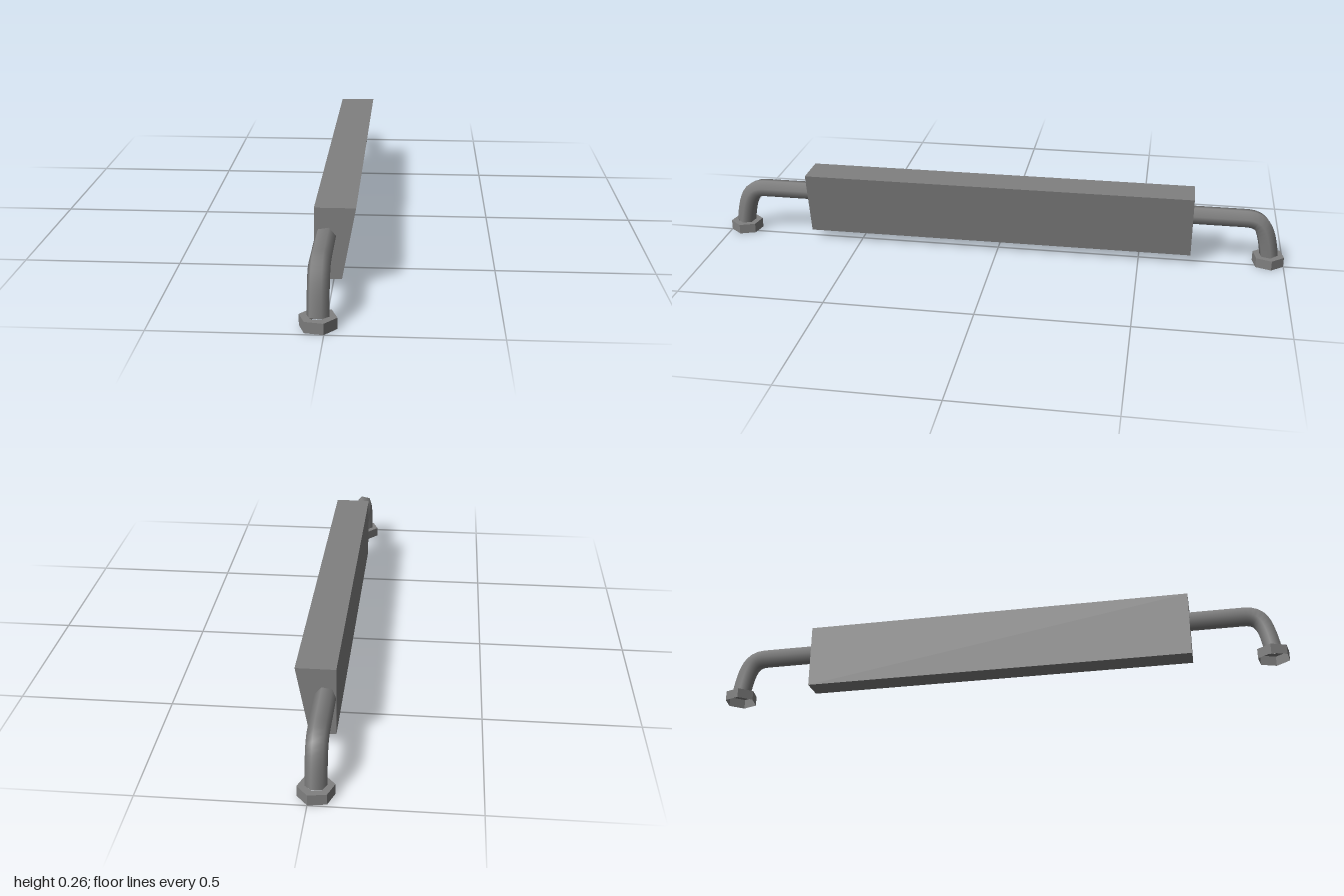
import * as THREE from 'three';
import { ParametricGeometry } from 'three/addons/geometries/ParametricGeometry.js';

const PIPE_X = -0.02, PIPE_R = 0.033, NUT_Z = 0.947, NUT_R = 0.056, NUT_H = 0.034;
const TWIST = Math.PI / 18; // hexagons are turned by ten degrees

// Hexagonal pipe that leaves the bar and bends down; side is +1 (front) or -1 (back)
function pipeGeometry(side) {
  const path = new THREE.Path(); // path x runs along z
  path.moveTo(0.67, 0.167);
  path.lineTo(0.86, 0.167);
  path.bezierCurveTo(0.915, 0.167, 0.932, 0.14, 0.948, NUT_H);
  return new ParametricGeometry((u, v, target) => {
    const p = path.getPoint(u), t = path.getTangent(u);
    const a = TWIST - side * v * Math.PI * 2;
    const out = PIPE_R * Math.sin(a);
    target.set(PIPE_X + PIPE_R * Math.cos(a), p.y + t.x * out, side * (p.x - t.y * out));
  }, 24, 6);
}

// Hollow hexagonal foot, open underneath, with flat faces
function nutGeometry(side) {
  const profile = [[NUT_R, 0], [NUT_R, NUT_H], [PIPE_R - 0.002, NUT_H]].map(([x, y]) => new THREE.Vector2(x, y));
  const g = new THREE.LatheGeometry(profile, 6, Math.PI / 2 - side * TWIST).toNonIndexed();
  g.computeVertexNormals();
  return g;
}

export function createModel() {
  const model = new THREE.Group();
  model.name = 'barHandle';
  const grey = new THREE.MeshStandardMaterial({ color: 0x808080, side: THREE.DoubleSide });
  grey.name = 'grey metal';

  const add = (name, geometry, parent = model) => {
    const mesh = new THREE.Mesh(geometry, grey);
    mesh.name = name;
    parent.add(mesh);
    return mesh;
  };

  // Long bar with one sloping side
  const section = new THREE.Shape([[-0.053, 0.034], [0.03, 0.034], [0.072, 0.26], [-0.053, 0.26]]
    .map(([x, y]) => new THREE.Vector2(x, y)));
  add('bar', new THREE.ExtrudeGeometry(section, { depth: 1.36, bevelEnabled: false }).translate(0, 0, -0.68));

  // Bent pipe and foot at each end
  for (const side of [1, -1]) {
    const leg = new THREE.Group();
    leg.name = side > 0 ? 'frontLeg' : 'backLeg';
    model.add(leg);
    add('pipe', pipeGeometry(side), leg);
    add('nut', nutGeometry(side), leg).position.set(PIPE_X, 0, side * NUT_Z);
  }
  return model;
}
